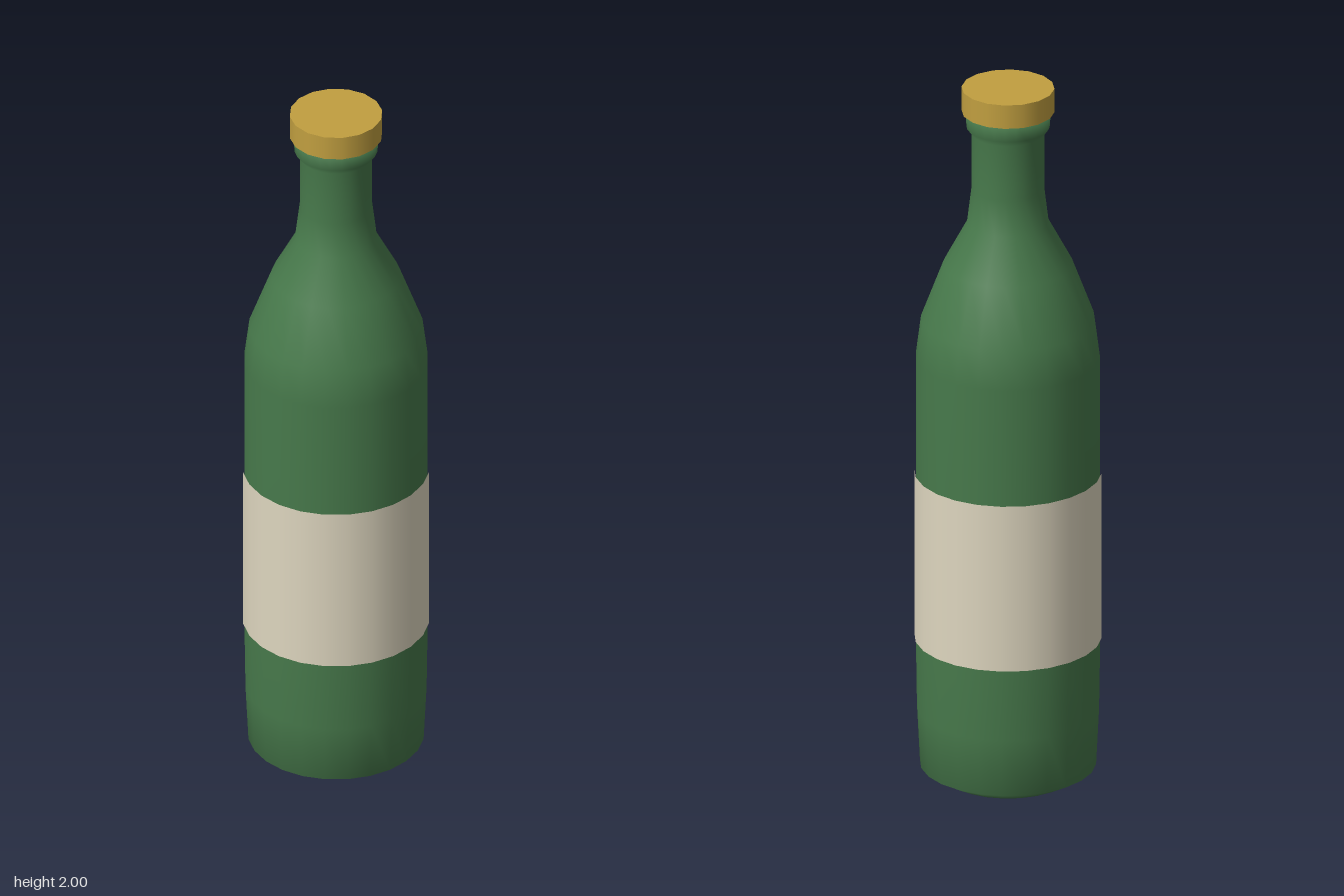
import * as THREE from 'three';

export function createModel() {
  const model = new THREE.Group();
  model.name = 'bottle';

  const glass = new THREE.MeshStandardMaterial({ name: 'green glass', color: 0x47794b });
  const paper = new THREE.MeshStandardMaterial({ name: 'cream paper', color: 0xded6bf });
  const gold = new THREE.MeshStandardMaterial({ name: 'gold cap', color: 0xc19f40 });

  const add = (name, geometry, material, y = 0) => {
    const mesh = new THREE.Mesh(geometry, material);
    mesh.name = name;
    mesh.position.y = y;
    model.add(mesh);
  };

  // Glass: base, straight wall, sloping shoulder, neck and lip
  const profile = [
    [0, 0], [0.175, 0.003], [0.237, 0.037], [0.245, 0.2], [0.248, 0.4], [0.248, 1.22],
    [0.234, 1.33], [0.174, 1.49], [0.11, 1.61], [0.098, 1.71], [0.098, 1.87],
    [0.112, 1.888], [0.116, 1.94], [0, 1.94],
  ].map(([r, y]) => new THREE.Vector2(r, y));
  add('glassBody', new THREE.LatheGeometry(profile, 24), glass);

  // Paper label wrapped right round the wall
  add('label', new THREE.CylinderGeometry(0.252, 0.252, 0.48, 24, 1, true), paper, 0.645);

  // Cap
  add('cap', new THREE.CylinderGeometry(0.125, 0.125, 0.068, 16), gold, 1.966);

  return model;
}
